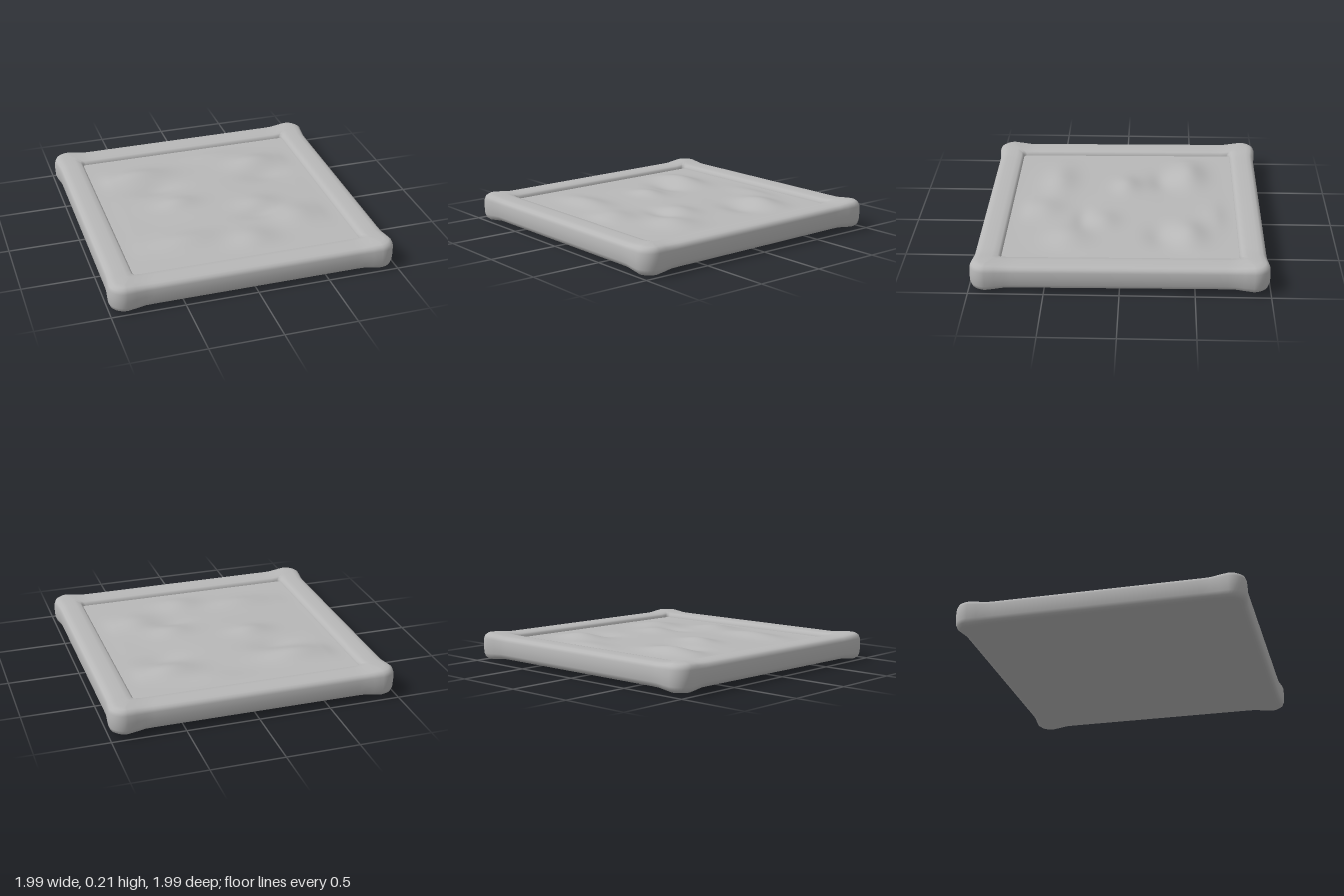
import * as THREE from 'three';

const HALF = 0.98;
const smooth = THREE.MathUtils.smoothstep;

// Gentle back-to-front slope shared by every part
const tilt = (z) => -0.008 * z;

// One loop of a rounded square, inset by d
function squareLoop(d, arcSteps = 8, sideSteps = 32) {
  const h = HALF - d;
  const r = Math.min(h, Math.max(0.02, 0.11 - d));
  const corner = (k, t) => {
    const a = (k + t) * Math.PI / 2;
    const sx = k === 0 || k === 3 ? 1 : -1;
    const sz = k < 2 ? 1 : -1;
    return [sx * (h - r) + r * Math.cos(a), sz * (h - r) + r * Math.sin(a)];
  };
  const points = [];
  for (let k = 0; k < 4; k++) {
    for (let j = 0; j < arcSteps; j++) points.push(corner(k, j / arcSteps));
    const a = corner(k, 1), b = corner((k + 1) % 4, 0);
    for (let j = 0; j < sideSteps; j++) {
      const t = j / sideSteps;
      points.push([a[0] + (b[0] - a[0]) * t, a[1] + (b[1] - a[1]) * t]);
    }
  }
  return points;
}

// Rim section swept round the square, with swollen corners and a closed base
function frameGeometry() {
  const profile = [
    [0.186, 0.12], [0.184, 0.15], [0.18, 0.172], [0.165, 0.184], [0.13, 0.19], [0.06, 0.19],
    [0.03, 0.186], [0.012, 0.175], [0.003, 0.155], [0, 0.11], [0.003, 0.065], [0.012, 0.042],
    [0.03, 0.03], [0.06, 0.025], [0.2, 0.025], [HALF, 0.025],
  ];
  const positions = [], indices = [];
  let n = 0;
  profile.forEach(([d, y], row) => {
    const loop = squareLoop(d);
    n = loop.length;
    loop.forEach(([x, z], i) => {
      const w = smooth(Math.min(Math.abs(x), Math.abs(z)), 0.74, 0.88);
      const swell = 0.016 * w * Math.max(0, 1 - d / 0.18);
      positions.push(
        x + Math.sign(x) * swell,
        y + 0.014 * w * (y - 0.11) / 0.085 + tilt(z),
        z + Math.sign(z) * swell,
      );
      if (row < profile.length - 1) {
        const a = row * n + i, b = row * n + (i + 1) % n;
        indices.push(a, b, b + n, a, b + n, a + n);
      }
    });
  });
  const g = new THREE.BufferGeometry();
  g.setAttribute('position', new THREE.Float32BufferAttribute(positions, 3));
  g.setIndex(indices);
  g.computeVertexNormals();
  return g;
}

// Soft mounds and hollows: x, z, radius x, radius z, height
const mounds = [
  [-0.45, -0.48, 0.22, 0.11, 0.04], [0.46, -0.47, 0.18, 0.11, 0.036],
  [-0.36, -0.27, 0.16, 0.08, -0.02], [0.46, -0.26, 0.15, 0.09, -0.018],
  [-0.27, -0.02, 0.14, 0.09, 0.026], [0.28, 0.13, 0.14, 0.1, 0.022],
  [0.25, 0.28, 0.14, 0.06, -0.014], [0.5, 0.36, 0.16, 0.14, 0.028],
  [-0.35, 0.48, 0.24, 0.11, 0.028], [0.1, 0.57, 0.15, 0.13, 0.026],
  [0.2, -0.65, 0.2, 0.1, 0.012], [0, 0, 0.5, 0.5, 0.012],
];

// Uneven inset panel
function reliefGeometry() {
  const g = new THREE.PlaneGeometry(1.6, 1.6, 90, 90).rotateX(-Math.PI / 2);
  const p = g.attributes.position;
  for (let i = 0; i < p.count; i++) {
    const x = p.getX(i), z = p.getZ(i);
    const edge = Math.max(Math.abs(x), Math.abs(z));
    let y = 0;
    for (const [mx, mz, rx, rz, height] of mounds) {
      y += height * Math.exp(-(((x - mx) / rx) ** 2) - ((z - mz) / rz) ** 2);
    }
    p.setY(i, 0.158 + y * (1 - smooth(edge, 0.65, 0.8)) + tilt(z));
  }
  g.computeVertexNormals();
  return g;
}

export function createModel() {
  const stone = new THREE.MeshStandardMaterial({ color: 0xb8b8b8 });
  stone.name = 'stone grey';
  const group = new THREE.Group();
  group.name = 'reliefTile';

  const frame = new THREE.Mesh(frameGeometry(), stone);
  frame.name = 'frame';
  const relief = new THREE.Mesh(reliefGeometry(), stone);
  relief.name = 'reliefPanel';
  group.add(frame, relief);
  return group;
}
